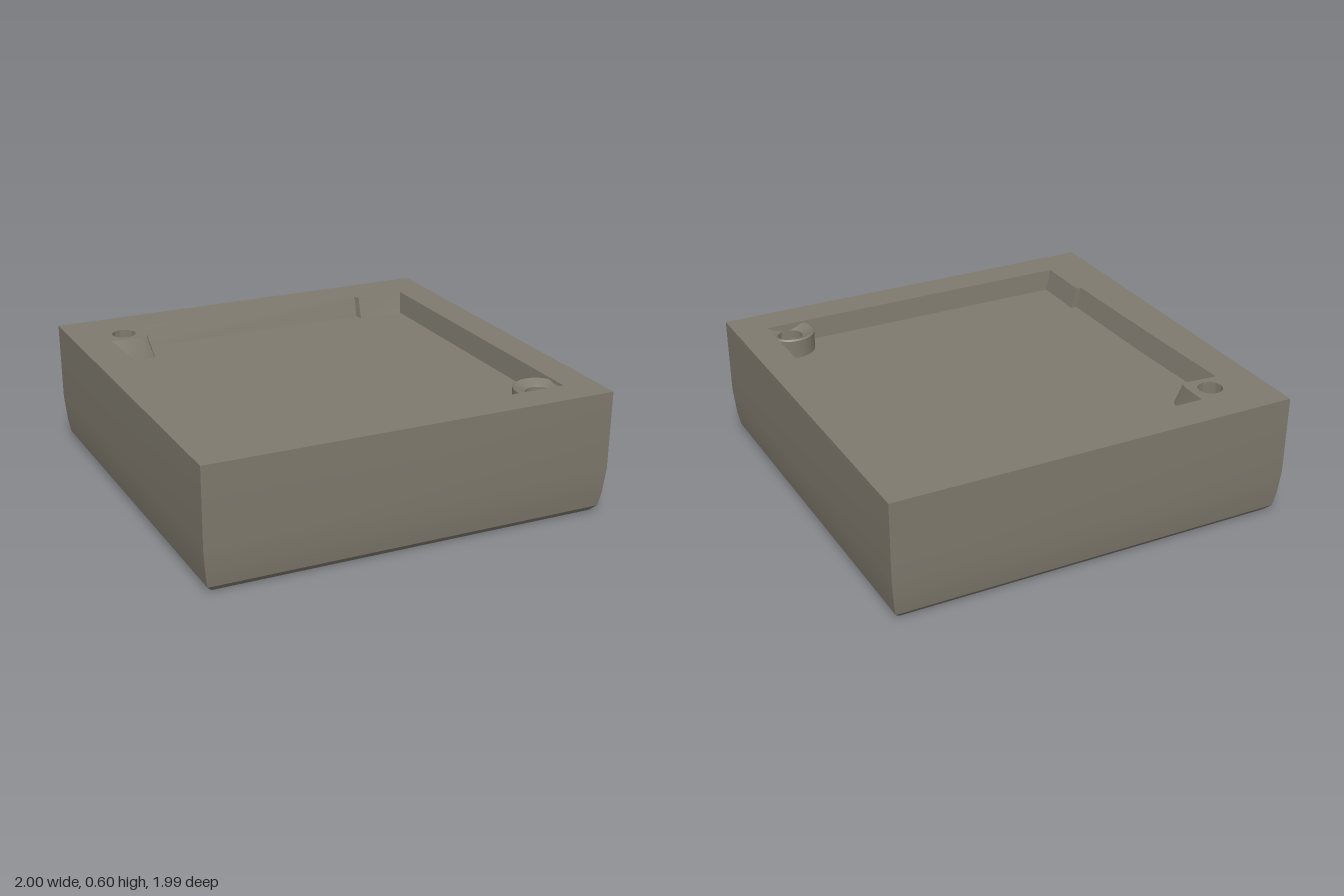
import * as THREE from 'three';
import { toCreasedNormals } from 'three/addons/utils/BufferGeometryUtils.js';

// Pocket outlines as [x, z]: where each meets the outer face, and at its floor.
// The back, right and front sides are shared; the left side differs per pocket.
const openingSides = [[-0.64, -0.81], [0.58, -0.80], [0.59, -0.77], [0.84, -0.77], [0.84, 0.83]];
const floorSides = [[-0.615, -0.78], [0.58, -0.775], [0.59, -0.74], [0.825, -0.735], [0.825, 0.82]];
const openingPost = [[-0.83, -0.645], [-0.68, -0.632], [-0.65, -0.64], [-0.64, -0.67]];
const floorPost = [[-0.805, -0.61], [-0.66, -0.602], [-0.625, -0.61], [-0.615, -0.64]];
const topOpening = [...openingSides,
  [-0.77, 0.83], [-0.77, 0.545], [-0.795, 0.545], [-0.81, -0.1], ...openingPost];
const topFloor = [...floorSides,
  [-0.74, 0.82], [-0.74, 0.545], [-0.77, 0.545], [-0.78, -0.1], ...floorPost];
const underOpening = [...openingSides, [-0.79, 0.83], [-0.81, -0.1], ...openingPost];
const underCeiling = [...floorSides, [-0.775, 0.82], [-0.785, -0.1], ...floorPost];
const SQUARE_POST = [-0.74, -0.73];
const ROUND_POST = [0.745, 0.77];

// Block outline, a touch shallower than wide
const block = (h) => [[-h, h - 0.005], [h, h - 0.005], [h, 0.01 - h], [-h, 0.01 - h]];

// Walls through closed [x, z] rings, listed from low to high
function loft(rings) {
  const pos = [];
  for (let k = 0; k + 1 < rings.length; k++) {
    const lo = rings[k], hi = rings[k + 1], n = lo.pts.length;
    for (let i = 0; i < n; i++) {
      const j = (i + 1) % n;
      const p = (r, m) => [r.pts[m][0], r.y, r.pts[m][1]];
      pos.push(...p(lo, i), ...p(lo, j), ...p(hi, j), ...p(lo, i), ...p(hi, j), ...p(hi, i));
    }
  }
  const g = new THREE.BufferGeometry();
  g.setAttribute('position', new THREE.Float32BufferAttribute(pos, 3));
  g.computeVertexNormals();
  return toCreasedNormals(g, 0.5);
}

// Horizontal face at height y, facing up (1) or down (-1), with holes
function flat(outline, y, facing, holes = []) {
  const v = (pts) => pts.map(([x, z]) => new THREE.Vector2(x, -facing * z));
  const shape = new THREE.Shape(v(outline));
  holes.forEach((h) => shape.holes.push(new THREE.Path(v(h))));
  return new THREE.ShapeGeometry(shape).rotateX(-facing * Math.PI / 2).translate(0, y, 0);
}

// Points start and step as in a lathe, so rims line up
function circle([cx, cz], r, n) {
  return Array.from({ length: n }, (_, i) => {
    const a = (i / n) * Math.PI * 2;
    return [cx + r * Math.sin(a), cz + r * Math.cos(a)];
  });
}

function turned([cx, cz], profile, n) {
  const g = new THREE.LatheGeometry(profile.map(([r, y]) => new THREE.Vector2(r, y)), n);
  return toCreasedNormals(g.translate(cx, 0, cz), 0.5);
}

export function createModel() {
  const group = new THREE.Group();
  const stone = new THREE.MeshStandardMaterial({ color: 0x7f7a6e });
  stone.name = 'stone';
  const add = (name, geometry) => {
    const mesh = new THREE.Mesh(geometry, stone);
    mesh.name = name;
    group.add(mesh);
  };
  const H = 0.6, topY = 0.495, underY = 0.16;

  // Outer shell, tucked in and bevelled at the foot
  add('outerWalls', loft([
    { y: 0, pts: block(0.945) }, { y: 0.03, pts: block(0.973) }, { y: 0.1, pts: block(0.985) },
    { y: 0.22, pts: block(0.996) }, { y: H, pts: block(1) },
  ]));
  add('topRim', flat(block(1), H, 1, [topOpening, circle(SQUARE_POST, 0.06, 12)]));
  add('bottomRim', flat(block(0.945), 0, -1, [underOpening, circle(SQUARE_POST, 0.085, 16)]));

  // Pockets above and below, with drafted walls
  add('topPocketWalls', loft([{ y: topY, pts: topFloor }, { y: H, pts: topOpening }]));
  add('topPocketFloor', flat(topFloor, topY, 1));
  add('underPocketWalls', loft([{ y: 0, pts: underOpening }, { y: underY, pts: underCeiling }]));
  add('underPocketCeiling', flat(underCeiling, underY, -1));

  // Pin holes in the square corner post
  add('squarePostTopHole', turned(SQUARE_POST, [[0.06, H], [0.06, 0.52], [0, 0.52]], 12));
  add('squarePostBottomHole', turned(SQUARE_POST,
    [[0, 0.1], [0.055, 0.1], [0.06, 0.06], [0.085, 0]], 16));

  // Round corner post with a shallow dished seat at each end
  add('roundPostTop', turned(ROUND_POST, [
    [0.12, topY], [0.12, 0.585], [0.112, 0.592], [0.1, 0.588], [0.06, 0.565], [0.06, 0.52], [0, 0.52],
  ], 24));
  add('roundPostBottom', turned(ROUND_POST, [
    [0, 0.1], [0.06, 0.1], [0.06, 0.05], [0.1, 0.012], [0.112, 0.006], [0.12, 0.012], [0.12, underY],
  ], 24));
  return group;
}
